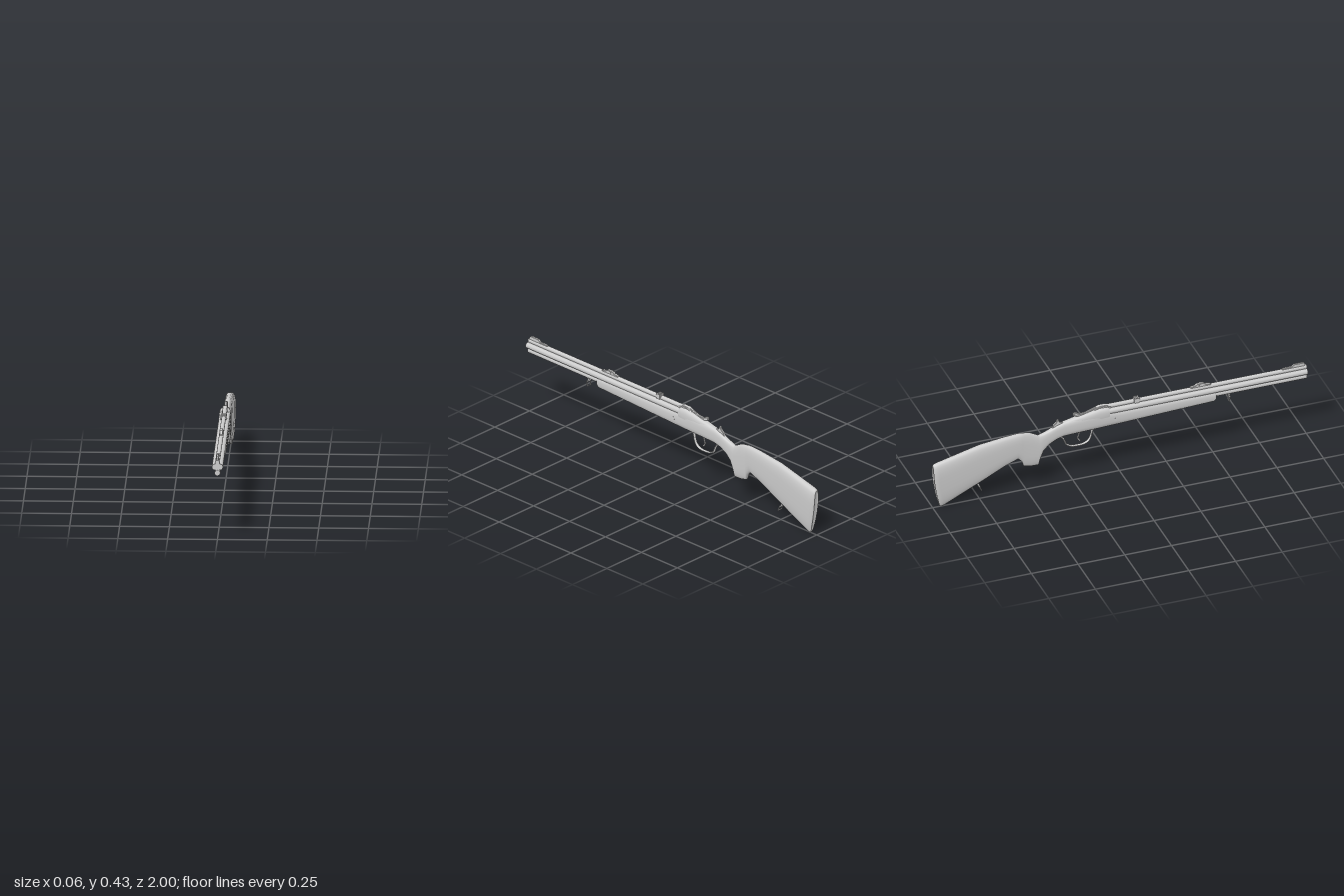
import * as THREE from 'three';

const mat = new THREE.MeshStandardMaterial({ color: 0xcccccc, side: THREE.DoubleSide });

// Loft of rounded sections along z: [z, top, bottom, halfWidth].
// Towards the butt the sections lean forward and narrow at the toe.
function loft(rows, power = 0.72, n = 28) {
  const pos = [], index = [];
  for (const [z, top, bottom, w] of rows) {
    const t = Math.max(0, (-0.56 - z) / 0.44);
    for (let i = 0; i < n; i++) {
      const a = (i / n) * Math.PI * 2, c = Math.cos(a), s = Math.sin(a);
      const v = (Math.sign(s) * Math.abs(s) ** power + 1) / 2;
      const x = w * Math.sign(c) * Math.abs(c) ** power * (1 - 0.4 * t * (1 - v));
      pos.push(x, bottom + (top - bottom) * v, z + 0.036 * t * (1 - v) ** 2);
    }
  }
  for (let r = 0; r < rows.length - 1; r++) {
    for (let i = 0; i < n; i++) {
      const a = r * n + i, b = r * n + (i + 1) % n;
      index.push(a, a + n, b, b, a + n, b + n);
    }
  }
  // End caps use their own vertices so the rims stay crisp
  [0, rows.length - 1].forEach((r, end) => {
    const base = pos.length / 3, mid = [0, 0, 0];
    for (let i = 0; i < n; i++) {
      for (let k = 0; k < 3; k++) {
        const p = pos[(r * n + i) * 3 + k];
        pos.push(p);
        mid[k] += p / n;
      }
    }
    pos.push(...mid);
    for (let i = 0; i < n; i++) {
      const a = base + i, b = base + (i + 1) % n;
      if (end) index.push(base + n, b, a);
      else index.push(base + n, a, b);
    }
  });
  const g = new THREE.BufferGeometry();
  g.setAttribute('position', new THREE.Float32BufferAttribute(pos, 3));
  g.setIndex(index);
  g.computeVertexNormals();
  return g;
}

// Side outline given as [z, y] points, extruded across x
function plate(points, width, bevel = 0.0015) {
  const shape = new THREE.Shape(points.map(p => new THREE.Vector2(...p)));
  const g = new THREE.ExtrudeGeometry(shape, {
    depth: width - 2 * bevel, bevelThickness: bevel, bevelSize: bevel, bevelOffset: -bevel, bevelSegments: 1,
  });
  g.translate(0, 0, bevel - width / 2);
  return g.rotateY(-Math.PI / 2);
}

// Bent rod in the side plane along [z, y] points
function rod(points, radius, flat = 1) {
  const curve = new THREE.CatmullRomCurve3(points.map(([z, y]) => new THREE.Vector3(0, y, z)), false, 'centripetal');
  return new THREE.TubeGeometry(curve, 48, radius, 10).scale(flat, 1, 1);
}

export function createModel() {
  const root = new THREE.Group();
  const add = (name, geometry, x = 0, y = 0, z = 0, parent = root) => {
    const m = new THREE.Mesh(geometry, mat);
    m.name = name;
    m.position.set(x, y, z);
    parent.add(m);
  };
  const group = (name) => {
    const g = new THREE.Group();
    g.name = name;
    root.add(g);
    return g;
  };
  const box = (w, h, d) => new THREE.BoxGeometry(w, h, d);

  // Barrel cluster: two side by side, one below, a slim rib tube on top
  const barrels = group('barrels');
  const barrel = (name, x, y, r) =>
    add(name, new THREE.CylinderGeometry(r, r, 1.09, 24).rotateX(Math.PI / 2), x, y, 0.455, barrels);
  barrel('leftBarrel', 0.0125, 0.376, 0.0155);
  barrel('rightBarrel', -0.0125, 0.376, 0.0155);
  barrel('lowerBarrel', 0, 0.345, 0.0145);
  barrel('topRib', 0, 0.399, 0.0115);
  add('barrelWeb', box(0.018, 0.05, 1.088), 0, 0.372, 0.455, barrels);

  // Fore-end, wrist, pistol grip and butt in one flowing body
  add('stock', loft([
    [0.513, 0.362, 0.318, 0.021],
    [0.5, 0.369, 0.309, 0.027],
    [0, 0.372, 0.289, 0.0295],
    [-0.13, 0.385, 0.284, 0.03],
    [-0.235, 0.37, 0.28, 0.025],
    [-0.3, 0.358, 0.276, 0.021],
    [-0.34, 0.344, 0.265, 0.0195],
    [-0.38, 0.325, 0.242, 0.0185],
    [-0.41, 0.314, 0.21, 0.018],
    [-0.428, 0.309, 0.162, 0.017],
    [-0.436, 0.308, 0.133, 0.017],
    [-0.478, 0.331, 0.135, 0.018],
    [-0.515, 0.337, 0.144, 0.019],
    [-0.523, 0.338, 0.172, 0.02],
    [-0.545, 0.339, 0.193, 0.021],
    [-0.62, 0.333, 0.166, 0.0235],
    [-0.75, 0.317, 0.106, 0.027],
    [-0.975, 0.261, 0.006, 0.0295],
    [-0.992, 0.256, 0.001, 0.027],
    [-1, 0.247, 0.006, 0.017],
  ]));

  // Receiver top closing the breech
  add('receiver', loft([
    [-0.06, 0.396, 0.33, 0.0285],
    [-0.07, 0.402, 0.325, 0.03],
    [-0.11, 0.404, 0.32, 0.03],
    [-0.2, 0.381, 0.31, 0.0245],
    [-0.3, 0.358, 0.3, 0.017],
  ], 0.75));
  add('breechBridge', plate([
    [-0.045, 0.385], [-0.05, 0.403], [-0.075, 0.411], [-0.11, 0.411], [-0.14, 0.398], [-0.14, 0.385],
  ], 0.026, 0.003));
  add('hingePin', new THREE.CylinderGeometry(0.008, 0.008, 0.061, 18).rotateZ(Math.PI / 2), 0, 0.33, -0.03);

  // Opening lever and safety catch on the tang
  add('topLever', plate([
    [-0.11, 0.405], [-0.13, 0.407], [-0.18, 0.39], [-0.215, 0.388], [-0.232, 0.398],
    [-0.25, 0.398], [-0.25, 0.383], [-0.225, 0.374], [-0.12, 0.385],
  ], 0.014, 0.003));
  add('safetyCatch', plate([
    [-0.295, 0.352], [-0.322, 0.363], [-0.328, 0.379], [-0.335, 0.377],
    [-0.34, 0.363], [-0.355, 0.351], [-0.36, 0.335],
  ], 0.012, 0.002));

  // Sights
  add('frontSight', plate([
    [0.87, 0.405], [0.87, 0.415], [0.92, 0.416], [0.935, 0.427], [0.985, 0.427], [0.993, 0.42], [0.993, 0.405],
  ], 0.012));
  add('rearSightBase', plate([
    [0.375, 0.405], [0.38, 0.414], [0.405, 0.417], [0.415, 0.426],
    [0.45, 0.426], [0.46, 0.417], [0.487, 0.413], [0.49, 0.405],
  ], 0.015));
  add('rearSightLeaf', box(0.02, 0.009, 0.012), 0, 0.42, 0.43);
  const mount = group('scopeMount');
  add('mountBase', box(0.026, 0.014, 0.03), 0, 0.404, 0.09, mount);
  for (const s of [1, -1]) {
    add('mountClaw', box(0.005, 0.027, 0.022), s * 0.0125, 0.404, 0.09, mount);
    add('mountBar', box(0.024, 0.008, 0.007), 0, 0.414, 0.09 + s * 0.009, mount);
  }

  // Trigger guard and trigger
  add('triggerGuard', rod([
    [-0.125, 0.286], [-0.146, 0.275], [-0.152, 0.248], [-0.165, 0.22], [-0.19, 0.205], [-0.225, 0.202],
    [-0.26, 0.206], [-0.284, 0.22], [-0.295, 0.245], [-0.31, 0.267], [-0.335, 0.274],
  ], 0.0048, 1.7));
  add('trigger', rod([[-0.212, 0.285], [-0.218, 0.262], [-0.223, 0.244], [-0.212, 0.226]], 0.0042));

  // Sling swivels: a stud with a tilted wire loop
  const swivel = (name, y, z, tilt) => {
    const g = group(name);
    g.position.set(0, y, z);
    g.rotation.x = tilt;
    const crossBar = (r, w) => new THREE.CylinderGeometry(r, r, w, 14).rotateZ(Math.PI / 2);
    add('stud', new THREE.CylinderGeometry(0.0045, 0.0055, 0.026, 14), 0, 0, 0, g);
    add('crossPin', crossBar(0.0045, 0.026), 0, -0.011, 0, g);
    add('loopBottom', crossBar(0.0026, 0.028), 0, -0.036, 0, g);
    for (const s of [1, -1]) {
      add('loopSide', new THREE.CylinderGeometry(0.0026, 0.0026, 0.027, 14), s * 0.0125, -0.024, 0, g);
    }
  };
  swivel('frontSwivel', 0.326, 0.588, 0.1);
  swivel('rearSwivel', 0.088, -0.757, -0.4);

  return root;
}
